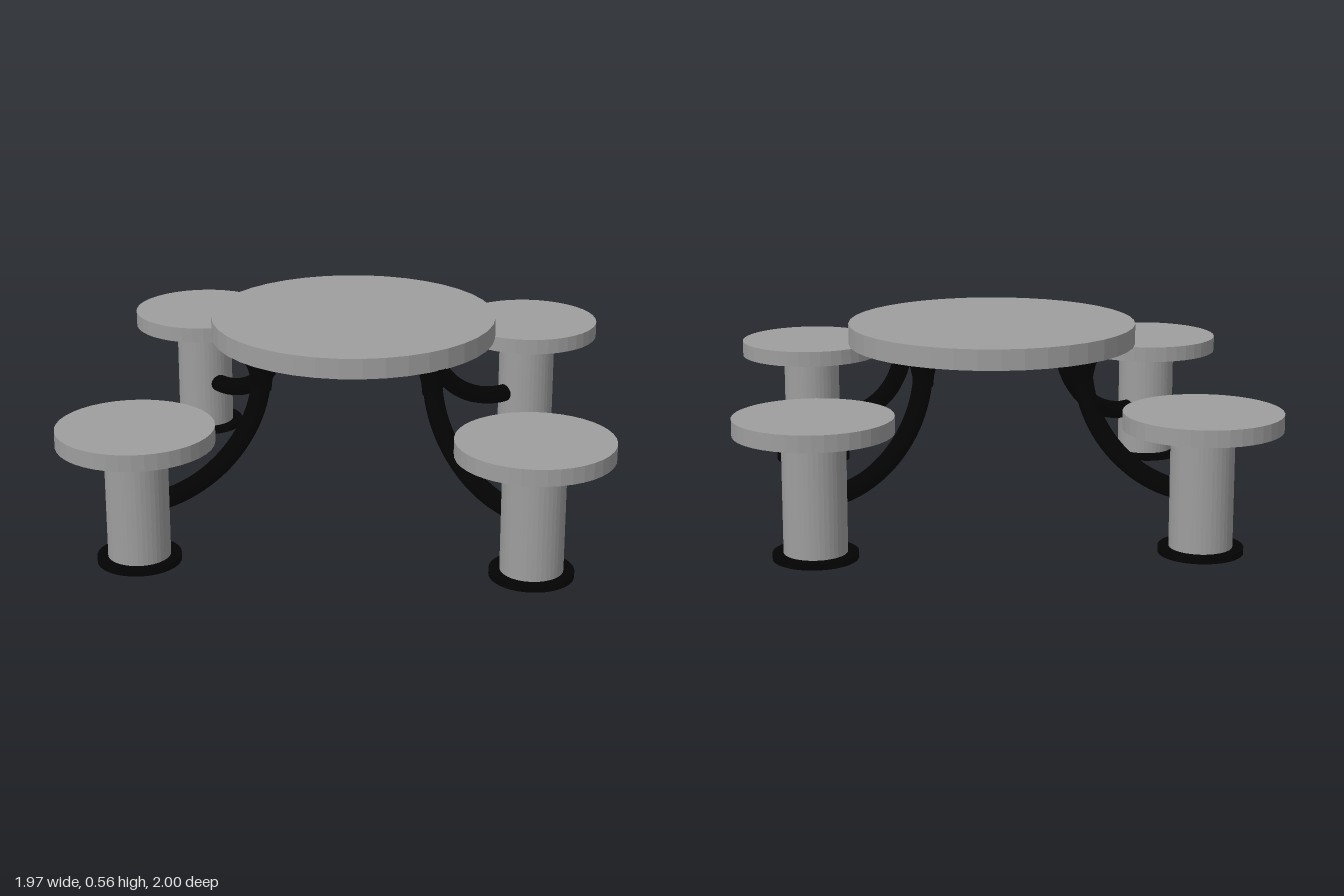
import * as THREE from 'three';

const grey = new THREE.MeshStandardMaterial({ color: 0x9e9e9e, flatShading: true });
const black = new THREE.MeshStandardMaterial({ color: 0x030303 });

function add(parent, name, geometry, material, x = 0, y = 0, z = 0) {
  const mesh = new THREE.Mesh(geometry, material);
  mesh.name = name;
  mesh.position.set(x, y, z);
  parent.add(mesh);
}

// Upright disc or column between two heights
function disc(parent, name, radius, y0, y1, material, x = 0, z = 0) {
  const geometry = new THREE.CylinderGeometry(radius, radius, y1 - y0, 40);
  add(parent, name, geometry, material, x, (y0 + y1) / 2, z);
}

// Seat on a column with a floor plate
function addStool(parent, x, z) {
  const stool = new THREE.Group();
  stool.name = 'stool';
  stool.position.set(x, 0, z);
  disc(stool, 'floorPlate', 0.118, 0, 0.018, black);
  disc(stool, 'column', 0.088, 0.018, 0.352, grey);
  disc(stool, 'seat', 0.22, 0.35, 0.397, grey);
  parent.add(stool);
}

// Quarter-ellipse tube from the table underside out to a stool column
function addArm(parent, top, end) {
  const arm = new THREE.Group();
  arm.name = 'supportArm';
  const [topX, topZ] = top, [endX, endZ] = end;
  const points = [new THREE.Vector3(topX, 0.497, topZ)];
  const steps = 12;
  for (let i = 0; i <= steps; i++) {
    const a = (i / steps) * Math.PI / 2;
    const out = 1 - Math.cos(a);
    points.push(new THREE.Vector3(
      topX + (endX - topX) * out,
      0.465 - 0.302 * Math.sin(a),
      topZ + (endZ - topZ) * out));
  }
  const curve = new THREE.CatmullRomCurve3(points);
  add(arm, 'armTube', new THREE.TubeGeometry(curve, 48, 0.028, 16), black);

  // Flared collar under the table top
  const profile = [[0.028, 0.41], [0.031, 0.44], [0.038, 0.47], [0.045, 0.487], [0.047, 0.497]]
    .map(([r, y]) => new THREE.Vector2(r, y));
  add(arm, 'armFlare', new THREE.LatheGeometry(profile, 24), black, topX, 0, topZ);
  // Closed round end where the tube meets the column
  add(arm, 'armEnd', new THREE.SphereGeometry(0.028, 16, 12), black, endX, 0.163, endZ);
  parent.add(arm);
}

export function createModel() {
  const model = new THREE.Group();
  model.name = 'picnicTable';

  disc(model, 'tableTop', 0.422, 0.495, 0.555, grey, 0.037, -0.023);

  // Stool centre, arm top and arm end, each as x, z
  const places = [
    { stool: [-0.765, 0.01], top: [-0.333, 0.014], end: [-0.69, 0.018] },
    { stool: [0.764, -0.024], top: [0.337, -0.028], end: [0.69, -0.032] },
    { stool: [0.024, -0.78], top: [0.017, -0.352], end: [0.018, -0.7] },
    { stool: [0.014, 0.779], top: [0.019, 0.353], end: [0.02, 0.7] },
  ];
  for (const { stool, top, end } of places) {
    addStool(model, ...stool);
    addArm(model, top, end);
  }
  return model;
}
